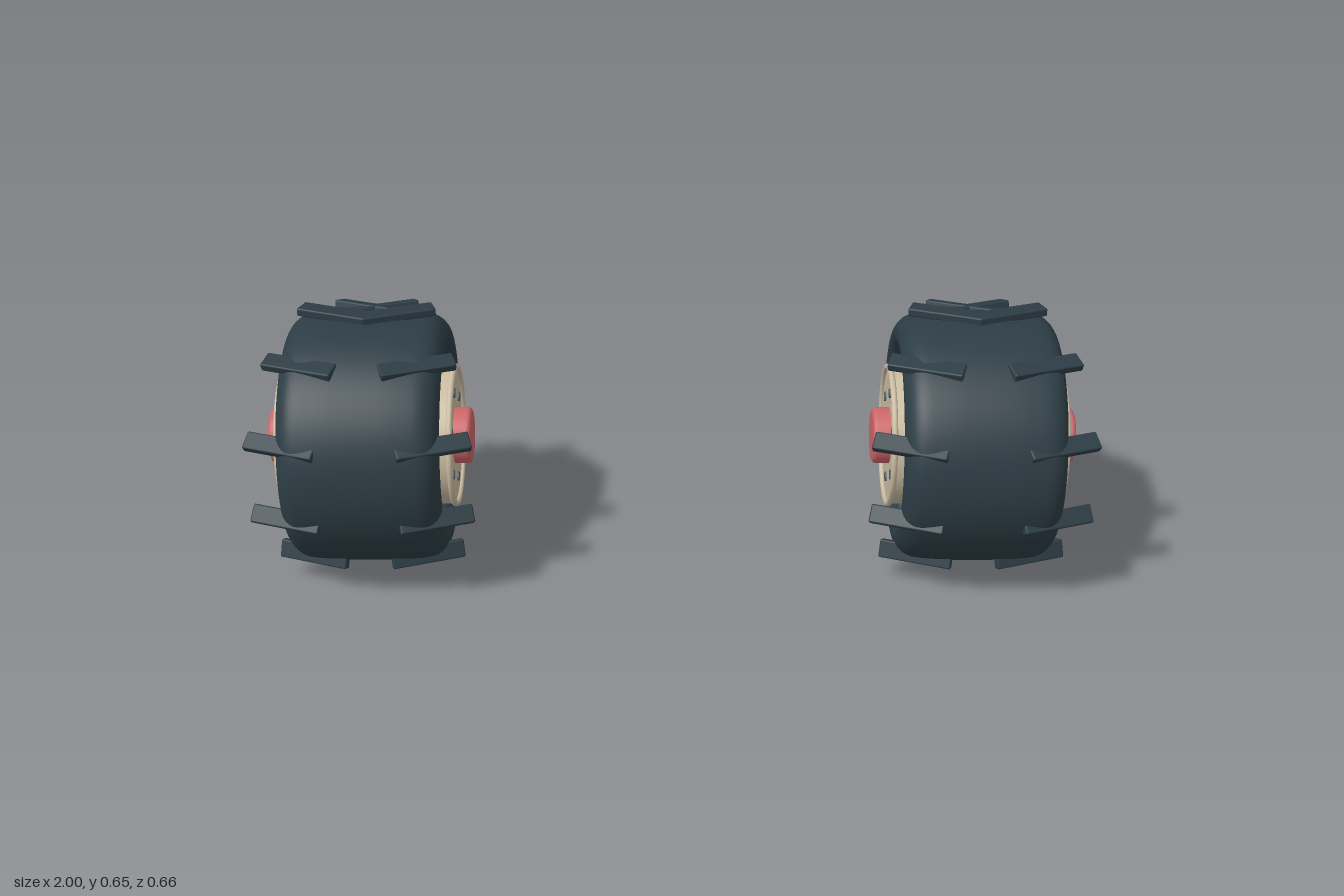
import * as THREE from 'three';
import { RoundedBoxGeometry } from 'three/addons/geometries/RoundedBoxGeometry.js';

const mat = (name, color) => {
  const m = new THREE.MeshStandardMaterial({ color });
  m.name = name;
  return m;
};
const v2 = (a) => a.map(([x, y]) => new THREE.Vector2(x, y));

export function createModel() {
  const rubber = mat('dark rubber', 0x2d3d45);
  const steel = mat('grey steel', 0x53636b);
  const cream = mat('cream rim', 0xcabda2);
  const red = mat('red hub', 0xcd666a);

  const add = (parent, name, geo, material) => {
    const m = new THREE.Mesh(geo, material);
    m.name = name;
    parent.add(m);
    return m;
  };
  // All turned parts are made around y, then laid along x
  const onAxle = (geo) => geo.rotateZ(-Math.PI / 2);

  // Tyre cross-section: half profile (radius, offset), mirrored
  const half = [[0.207, 0.13], [0.211, 0.16], [0.224, 0.181], [0.243, 0.19], [0.265, 0.187],
    [0.285, 0.172], [0.297, 0.149], [0.302, 0.11], [0.305, 0.05]];
  const profile = [...half.map(([r, x]) => [r, -x]), ...[...half].reverse()];
  const tyreGeo = onAxle(new THREE.LatheGeometry(new THREE.SplineCurve(v2(profile)).getPoints(60), 64));
  const drumGeo = onAxle(new THREE.CylinderGeometry(0.21, 0.21, 0.33, 64));

  // Rim and hub pieces on the +x face
  const discGeo = onAxle(new THREE.CylinderGeometry(0.168, 0.168, 0.045, 64)).translate(0.1805, 0, 0);
  const lipGeo = new THREE.TorusGeometry(0.168, 0.0075, 10, 64).rotateY(Math.PI / 2).translate(0.2045, 0, 0);
  const boltGeo = onAxle(new THREE.CylinderGeometry(0.012, 0.012, 0.02, 20)).translate(0.197, 0, 0);
  const hubGeo = onAxle(new THREE.LatheGeometry(v2([[0.069, 0.19], [0.069, 0.234], [0.0675, 0.239],
    [0.0645, 0.243], [0.06, 0.245], [0.05, 0.2455], [0, 0.2455]]), 48));

  const lugGeo = new RoundedBoxGeometry(0.18, 0.02, 0.045, 2, 0.004);

  function makeWheel(name) {
    const wheel = new THREE.Group();
    wheel.name = name;
    add(wheel, 'tyre', tyreGeo, rubber);
    add(wheel, 'wheelDrum', drumGeo, steel);

    // Same rim on both faces
    for (const side of [0, 1]) {
      const face = new THREE.Group();
      face.name = side ? 'rightRim' : 'leftRim';
      face.rotation.y = side * Math.PI;
      add(face, 'rimDisc', discGeo, cream);
      add(face, 'rimLip', lipGeo, cream);
      add(face, 'hubCap', hubGeo, red);
      for (let i = 0; i < 6; i++) {
        const a = (i * Math.PI) / 3;
        add(face, 'bolt', boltGeo, steel).position.set(0, 0.114 * Math.cos(a), 0.114 * Math.sin(a));
      }
      wheel.add(face);
    }

    // Two rings of tread lugs, each ring swung about the vertical to make chevrons
    for (const s of [1, -1]) {
      const ring = new THREE.Group();
      ring.name = s > 0 ? 'leftLugs' : 'rightLugs';
      ring.rotation.y = s * 0.35;
      for (let i = 0; i < 10; i++) {
        const a = (i * Math.PI) / 5;
        const lug = add(ring, 'treadLug', lugGeo, rubber);
        lug.position.set(s * 0.08, 0.311 * Math.cos(a), 0.311 * Math.sin(a));
        lug.rotation.x = a / 2;
      }
      wheel.add(ring);
    }
    return wheel;
  }

  const model = new THREE.Group();
  model.name = 'wheelPair';
  for (const s of [1, -1]) {
    const wheel = makeWheel(s > 0 ? 'leftWheel' : 'rightWheel');
    wheel.position.set(s * 0.733, 0.334, 0.025);
    model.add(wheel);
  }
  return model;
}
